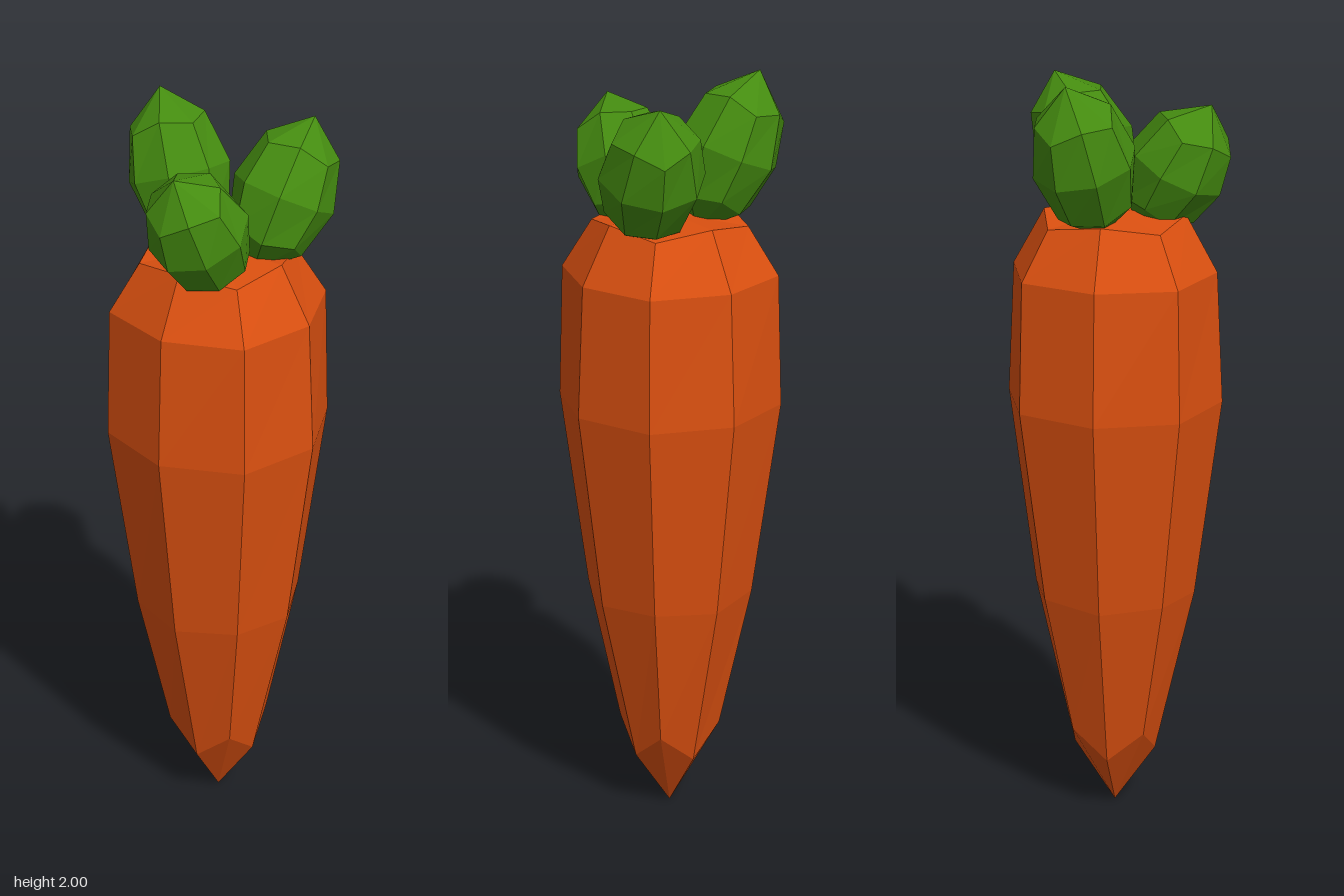
import * as THREE from 'three';

const orange = new THREE.MeshStandardMaterial({ color: 0xdb5010, flatShading: true });
orange.name = 'carrotOrange';
const green = new THREE.MeshStandardMaterial({ color: 0x458c10, flatShading: true });
green.name = 'leafGreen';

// Eight-sided closed form, each pole capped by four quads.
// Ring: [side radius, side height, corner radius, corner height], bottom to top.
function blockyForm(bottomY, rings, topY, turn = 0) {
  const pos = [];
  const tri = (...pts) => pts.forEach((p) => pos.push(...p));
  const quad = (a, b, c, d) => { tri(a, b, c); tri(a, c, d); };
  const loops = rings.map(([sr, sy, cr, cy]) =>
    Array.from({ length: 8 }, (_, k) => {
      const a = turn + (k * Math.PI) / 4;
      const r = k % 2 ? cr : sr;
      return [r * Math.cos(a), k % 2 ? cy : sy, r * Math.sin(a)];
    }));
  for (let i = 0; i < loops.length - 1; i++) {
    const lo = loops[i], up = loops[i + 1];
    for (let k = 0; k < 8; k++) {
      const n = (k + 1) % 8;
      quad(lo[n], lo[k], up[k], up[n]);
    }
  }
  const first = loops[0], last = loops[loops.length - 1];
  for (let k = 0; k < 8; k += 2) {
    const n = (k + 2) % 8;
    quad([0, bottomY, 0], first[k], first[k + 1], first[n]);
    quad([0, topY, 0], last[n], last[k + 1], last[k]);
  }
  const geo = new THREE.BufferGeometry();
  geo.setAttribute('position', new THREE.Float32BufferAttribute(pos, 3));
  geo.computeVertexNormals();
  return geo;
}

// Chunky leaf leaning from its centre towards its tip
function leaf(name, centre, toTip, r) {
  const dir = new THREE.Vector3(...toTip);
  const h = dir.length();
  const turn = Math.atan2(dir.z, dir.x) + Math.PI / 4;
  const geo = blockyForm(-h, [
    [0.76 * r, -0.62 * h, 0.86 * r, -0.53 * h],
    [1.03 * r, 0, 1.05 * r, 0],
    [0.76 * r, 0.62 * h, 0.86 * r, 0.53 * h],
  ], h, turn);
  const mesh = new THREE.Mesh(geo, green);
  mesh.name = name;
  mesh.position.set(...centre);
  mesh.quaternion.setFromUnitVectors(new THREE.Vector3(0, 1, 0), dir.normalize());
  return mesh;
}

export function createModel() {
  const group = new THREE.Group();
  group.name = 'carrot';

  // Tapered root with a pointed tip and a flat shoulder
  const root = new THREE.Mesh(blockyForm(0.005, [
    [0.11, 0.17, 0.135, 0.25],
    [0.213, 0.63, 0.219, 0.64],
    [0.28, 1.16, 0.289, 1.16],
    [0.263, 1.5, 0.278, 1.5],
    [0.182, 1.645, 0.2, 1.625],
  ], 1.65), orange);
  root.name = 'root';
  root.position.z = -0.007;
  group.add(root);

  // Three leaves fanning out from the crown
  group.add(
    leaf('frontLeaf', [0.037, 1.755, 0.143], [-0.012, 0.165, 0.09], 0.124),
    leaf('rightLeaf', [-0.145, 1.8, -0.055], [-0.075, 0.2, -0.03], 0.128),
    leaf('backLeaf', [0.125, 1.783, -0.11], [0.035, 0.182, -0.085], 0.128),
  );
  return group;
}
